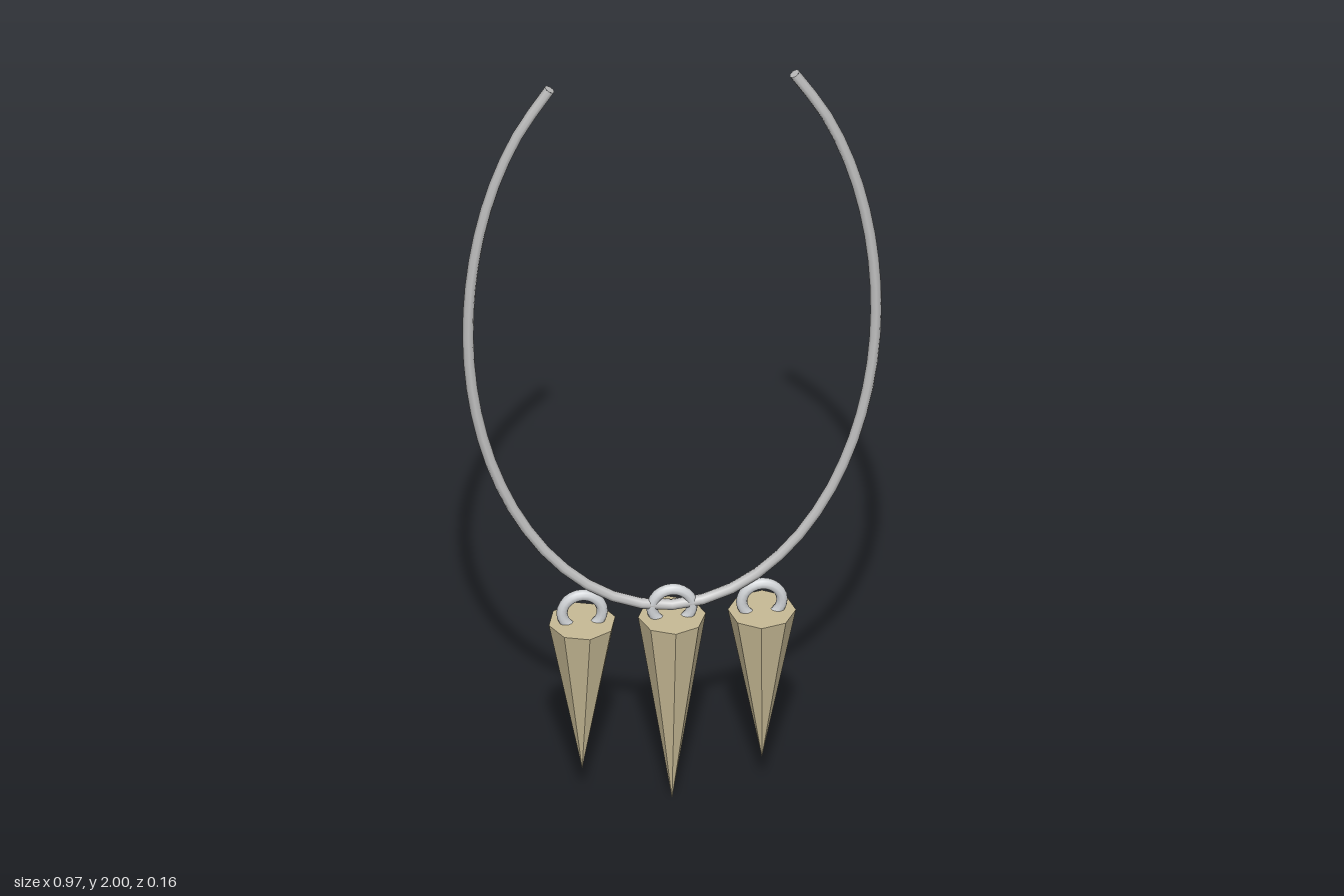
import * as THREE from 'three';

const hoopMetal = new THREE.MeshStandardMaterial({ name: 'hoopMetal', color: 0xc0c0c0 });
const ringMetal = new THREE.MeshStandardMaterial({ name: 'ringMetal', color: 0xd0d3d6 });
const bone = new THREE.MeshStandardMaterial({ name: 'bone', color: 0xc8bb96 });
bone.flatShading = true;

const WIRE = 0.013;

function part(name, geometry, material, parent) {
  const mesh = new THREE.Mesh(geometry, material);
  mesh.name = name;
  parent.add(mesh);
  return mesh;
}

// Open egg-shaped hoop, slightly taller above its widest point
function addHoop(parent) {
  const start = Math.asin(0.8), points = [];
  for (let i = 0; i <= 24; i++) {
    const a = start - (i / 24) * (Math.PI + 2 * start);
    const s = Math.sin(a);
    points.push(new THREE.Vector3(0.47 * Math.cos(a), 1.33 + s * (s > 0 ? 0.83 : 0.79), 0));
  }
  const curve = new THREE.CatmullRomCurve3(points);
  const hoop = new THREE.Group();
  hoop.name = 'hoop';
  parent.add(hoop);
  part('hoopWire', new THREE.TubeGeometry(curve, 48, WIRE, 8), hoopMetal, hoop);

  // Flat discs closing the two wire ends
  for (const [t, sign] of [[0, -1], [1, 1]]) {
    const cap = part('wireEnd', new THREE.CircleGeometry(WIRE, 8), hoopMetal, hoop);
    cap.position.copy(curve.getPoint(t));
    const outward = curve.getTangent(t).multiplyScalar(sign);
    cap.quaternion.setFromUnitVectors(new THREE.Vector3(0, 0, 1), outward);
  }
}

// Faceted spike hanging point-down from a small ring
function addPendant(parent, name, x, tipY, turn) {
  const pendant = new THREE.Group();
  pendant.name = name;
  pendant.position.x = x;
  parent.add(pendant);

  const topY = 0.51, height = topY - tipY;
  const spike = part('spike', new THREE.CylinderGeometry(0.078, 0, height, 8), bone, pendant);
  spike.position.y = tipY + height / 2;
  spike.rotation.y = turn;

  const ring = part('ring', new THREE.TorusGeometry(0.0465, WIRE, 10, 24), ringMetal, pendant);
  ring.position.y = 0.536;
}

export function createModel() {
  const model = new THREE.Group();
  model.name = 'spikeHoopEarring';
  addHoop(model);
  addPendant(model, 'rightPendant', -0.207, 0.1, 0.12);
  addPendant(model, 'middlePendant', 0, 0, 0);
  addPendant(model, 'leftPendant', 0.207, 0.1, -0.12);
  return model;
}
